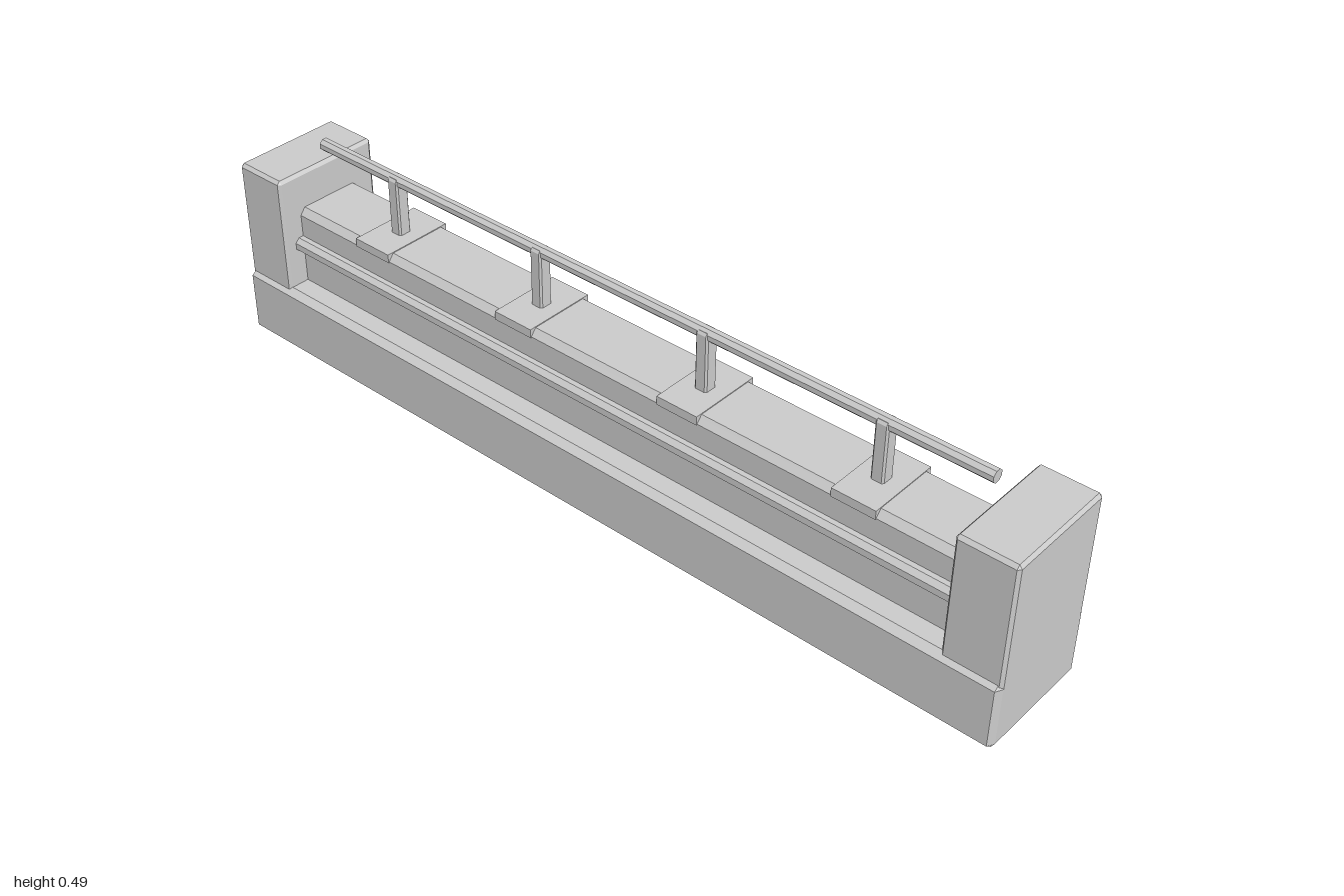
import * as THREE from 'three';
import { ConvexGeometry } from 'three/addons/geometries/ConvexGeometry.js';

const material = new THREE.MeshStandardMaterial({ color: 0xcccccc, flatShading: true });

// Box given by its limits, with every edge cut by cx, cy, cz along each axis
function chamferBox([x0, x1], [y0, y1], [z0, z1], [cx, cy, cz]) {
  const half = [(x1 - x0) / 2, (y1 - y0) / 2, (z1 - z0) / 2];
  const cut = [cx, cy, cz];
  const points = [];
  for (const sx of [-1, 1]) for (const sy of [-1, 1]) for (const sz of [-1, 1]) {
    const sign = [sx, sy, sz];
    // each corner becomes three points, one on each adjoining face
    for (let face = 0; face < 3; face++) {
      points.push(new THREE.Vector3(...half.map((h, i) => sign[i] * (i === face ? h : h - cut[i]))));
    }
  }
  return new ConvexGeometry(points).translate((x0 + x1) / 2, (y0 + y1) / 2, (z0 + z1) / 2);
}

// Constant cross-section of [z, y] points, run along x
function beam(points, length) {
  const shape = new THREE.Shape(points.map(([z, y]) => new THREE.Vector2(-z, y)));
  return new THREE.ExtrudeGeometry(shape, { depth: length, bevelEnabled: false })
    .translate(0, 0, -length / 2).rotateY(Math.PI / 2);
}

export function createModel() {
  const group = new THREE.Group();
  const add = (name, geometry) => {
    const mesh = new THREE.Mesh(geometry, material);
    mesh.name = name;
    group.add(mesh);
    return mesh;
  };

  // Long plinth
  add('base', chamferBox([-1, 1], [0.01, 0.17], [-0.143, 0.143], [0.008, 0.013, 0.016]));

  // End pillars
  for (const [name, x0] of [['rightPillar', -1], ['leftPillar', 0.87]]) {
    add(name, chamferBox([x0, x0 + 0.13], [0.05, 0.44], [-0.133, 0.133], [0.006, 0.008, 0.007]));
  }

  // Wall with bevelled top edges
  add('wall', beam([
    [-0.083, 0.15], [0.083, 0.15], [0.083, 0.337],
    [0.07, 0.353], [-0.07, 0.353], [-0.083, 0.337],
  ], 1.76));

  // Ledge along the front of the wall
  add('frontLedge', beam([
    [0.07, 0.25], [0.095, 0.25], [0.105, 0.26],
    [0.105, 0.275], [0.095, 0.285], [0.07, 0.285],
  ], 1.76));

  // Raised panels on the back of the wall
  for (const x of [-0.465, 0.465]) {
    add('backPanel', chamferBox([x - 0.247, x + 0.247], [0.2, 0.3], [-0.101, -0.075], [0.004, 0.004, 0.004]));
  }

  // Posts with their base plates
  for (const x of [-0.637, -0.22, 0.214, 0.63]) {
    const plate = add('postPlate', new THREE.BoxGeometry(0.1, 0.02, 0.17));
    plate.position.set(x, 0.345, 0);
    add('post', chamferBox([x - 0.015, x + 0.015], [0.34, 0.49], [-0.016, 0.016], [0.004, 0.006, 0.004]));
  }

  // Octagonal handrail
  const rail = add('handrail', new THREE.CylinderGeometry(0.0145, 0.0145, 1.73, 8)
    .rotateY(Math.PI / 8).rotateZ(Math.PI / 2));
  rail.position.set(-0.002, 0.482, 0);

  return group;
}
